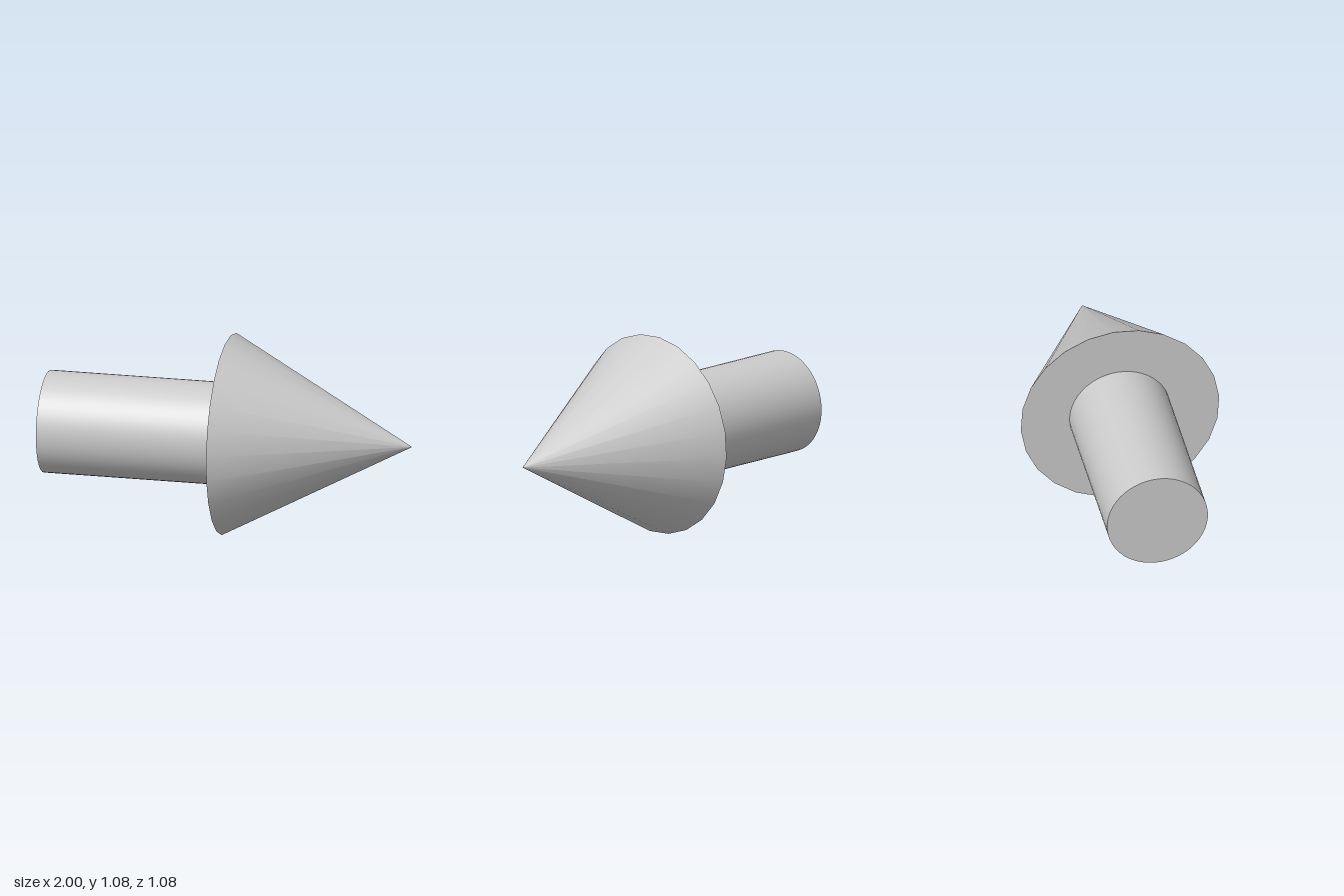
import * as THREE from 'three';

const material = new THREE.MeshStandardMaterial({ color: 0xcccccc });

// Round part lying along x, narrowing from rear radius to front radius
function alongX(name, frontRadius, rearRadius, rearX, frontX, sides) {
  const offset = THREE.MathUtils.degToRad(-3.75);
  const geometry = new THREE.CylinderGeometry(
    frontRadius, rearRadius, frontX - rearX, sides, 1, false, offset);
  geometry.rotateZ(-Math.PI / 2);
  geometry.translate((rearX + frontX) / 2, 0, 0);
  const mesh = new THREE.Mesh(geometry, material);
  mesh.name = name;
  return mesh;
}

export function createModel() {
  const arrow = new THREE.Group();
  arrow.name = 'arrow';

  const headRadius = 0.542;
  const headBase = -0.005;

  const body = new THREE.Group();
  body.name = 'arrowBody';
  body.position.y = headRadius * Math.cos(THREE.MathUtils.degToRad(3.75));

  // Straight shaft, then the cone-shaped head with its flat back
  body.add(alongX('shaft', 0.275, 0.275, -1, headBase, 48));
  body.add(alongX('head', 0, headRadius, headBase, 1, 24));

  arrow.add(body);
  return arrow;
}
